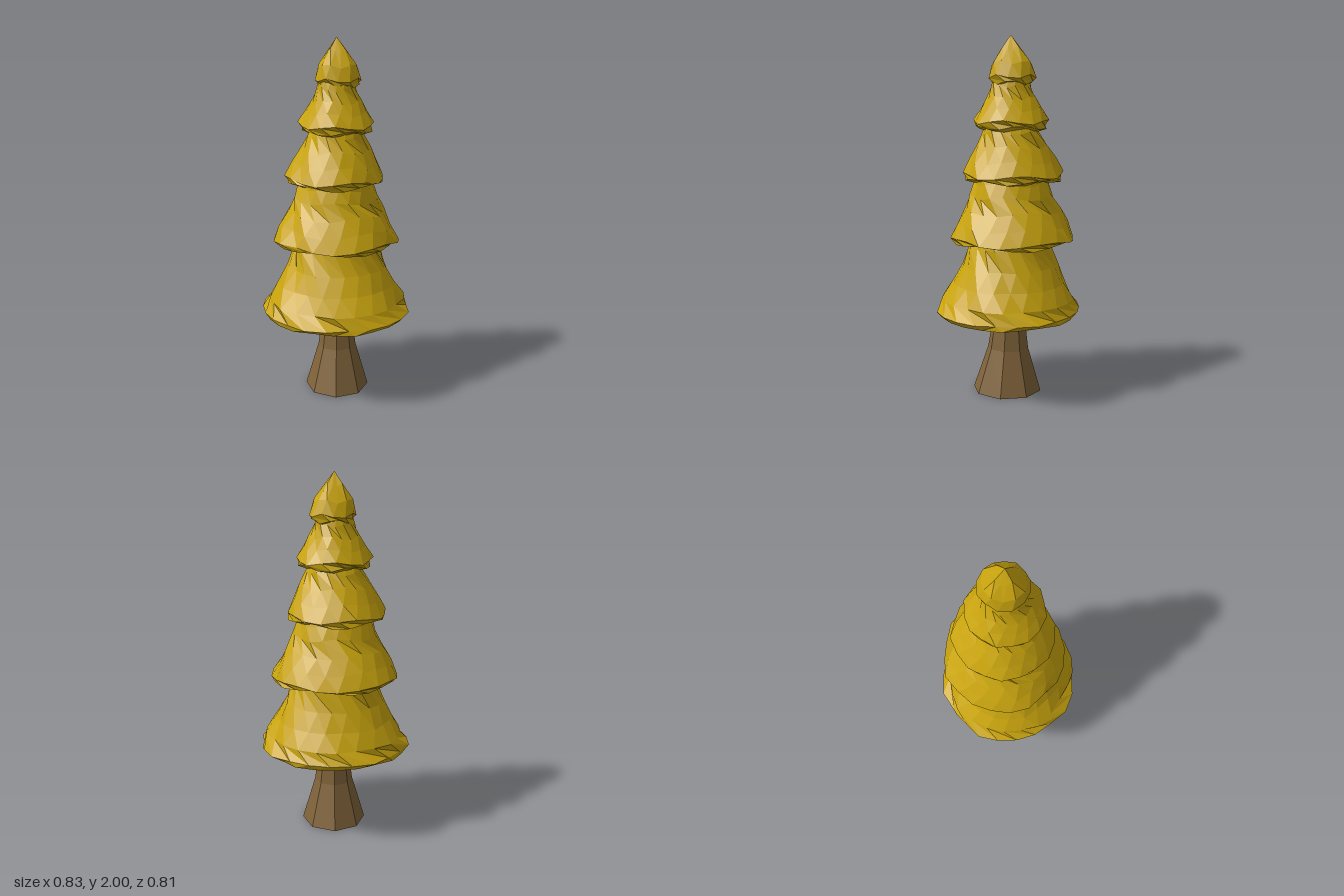
import * as THREE from 'three';

// Bend every lathe vertex around its own axis: move(angle, radius, y) -> [x, y, z]
function reshape(geometry, move) {
  const p = geometry.attributes.position;
  for (let i = 0; i < p.count; i++) {
    const x = p.getX(i), z = p.getZ(i);
    p.setXYZ(i, ...move(Math.atan2(x, z), Math.hypot(x, z), p.getY(i)));
  }
  geometry.computeVertexNormals();
  return geometry;
}

function lathe(profile, sides) {
  return new THREE.LatheGeometry(profile.map(([r, y]) => new THREE.Vector2(r, y)), sides);
}

// Each tier: centre of the skirt, its half widths in x and z, and a profile of [share of half width, y]
const tiers = [
  { name: 'foliageBottom', cx: 0, cz: 0, rx: 0.42, rz: 0.405, sides: 22,
    profile: [[0, 0.457], [0.95, 0.457], [1, 0.485], [0.91, 0.55], [0.78, 0.64], [0.66, 0.74], [0.57, 0.85], [0.53, 0.9]] },
  { name: 'foliageLower', cx: -0.005, cz: -0.03, rx: 0.355, rz: 0.348, sides: 20,
    profile: [[0, 0.865], [0.6, 0.865], [0.94, 0.875], [1, 0.895], [0.89, 0.97], [0.76, 1.05], [0.65, 1.13], [0.58, 1.2], [0.54, 1.25]] },
  { name: 'foliageMiddle', cx: -0.012, cz: -0.03, rx: 0.272, rz: 0.278, sides: 18,
    profile: [[0, 1.2], [0.65, 1.2], [0.95, 1.218], [1, 1.245], [0.86, 1.32], [0.7, 1.4], [0.56, 1.48], [0.48, 1.53]] },
  { name: 'foliageUpper', cx: 0, cz: -0.02, rx: 0.205, rz: 0.208, sides: 16,
    profile: [[0, 1.485], [0.62, 1.485], [0.94, 1.505], [1, 1.535], [0.82, 1.6], [0.66, 1.66], [0.53, 1.73], [0.46, 1.79]] },
  { name: 'foliageTop', cx: 0.012, cz: -0.03, rx: 0.126, rz: 0.132, sides: 12,
    profile: [[0, 1.74], [0.6, 1.74], [0.88, 1.745], [1, 1.775], [0.84, 1.85], [0.42, 1.93], [0, 2]] },
];

export function createModel() {
  const tree = new THREE.Group();
  tree.name = 'tree';

  const leaf = new THREE.MeshStandardMaterial({ color: 0xc9a40e, flatShading: true, side: THREE.DoubleSide });
  const bark = new THREE.MeshStandardMaterial({ color: 0x80633a, flatShading: true });

  // Foliage skirts with an uneven, hand-cut surface
  tiers.forEach((t, k) => {
    const bottom = t.profile[0][1], top = t.profile[t.profile.length - 1][1];
    const levels = t.profile.map(([, y]) => y);
    const geometry = reshape(lathe(t.profile, t.sides), (a, r, y) => {
      const ring = levels.findIndex((l) => Math.abs(l - y) < 1e-4);
      const up = (y - bottom) / (top - bottom);
      // Alternate rings turn a little so the facets run at a slant
      const turned = a + (ring % 3) * 0.35 * (Math.PI * 2 / t.sides);
      const bump = 1 + 0.022 * Math.sin(5 * a + ring * 2.1 + k) + 0.02 * Math.sin(8 * a - ring * 3.7 + 2 * k);
      const lift = r > 0.01 && k > 0 ? 0.012 * Math.sin(4 * a + k * 1.7 + ring) : 0;
      return [
        THREE.MathUtils.lerp(t.cx, 0, up) + Math.sin(turned) * r * t.rx * bump,
        y + lift,
        THREE.MathUtils.lerp(t.cz, -0.018, up) + Math.cos(turned) * r * t.rz * bump,
      ];
    });
    const mesh = new THREE.Mesh(geometry, leaf);
    mesh.name = t.name;
    tree.add(mesh);
  });

  // Flared eight-sided trunk, leaning slightly back
  const trunkProfile = [[0, 0], [0.19, 0], [0.113, 0.25], [0.085, 0.46], [0.08, 0.5], [0, 0.5]];
  const trunk = new THREE.Mesh(
    reshape(lathe(trunkProfile, 8), (a, r, y) => [
      Math.sin(a) * r * 0.95 + 0.004, y, Math.cos(a) * r * 1.03 + 0.002 - y * 0.025,
    ]), bark);
  trunk.name = 'trunk';
  tree.add(trunk);

  return tree;
}
